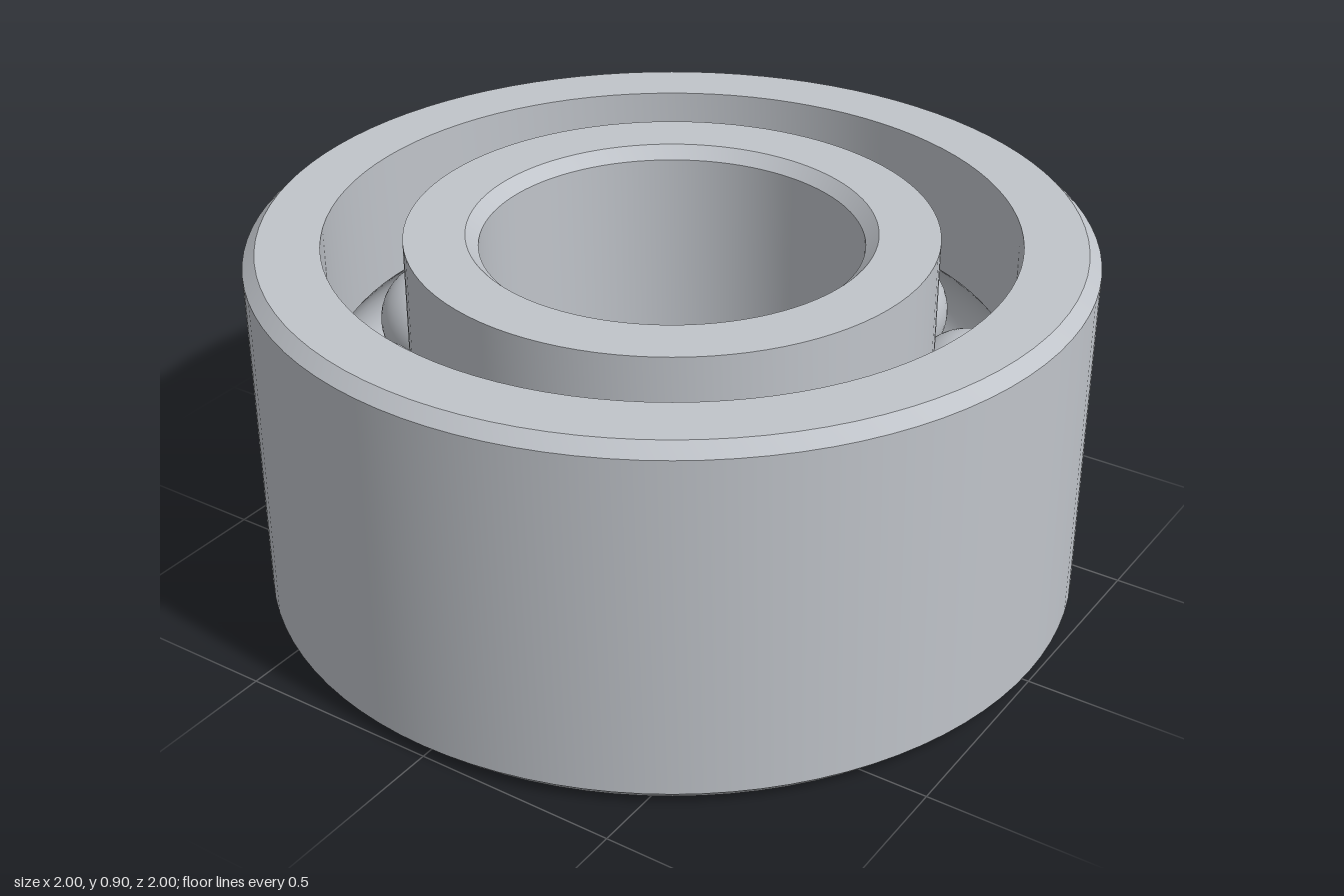
import * as THREE from 'three';
import { toCreasedNormals } from 'three/addons/utils/BufferGeometryUtils.js';

const HEIGHT = 0.905, MID = HEIGHT / 2, CHAMFER = 0.03;
const PITCH = 0.725, BALL = 0.15, GROOVE = 0.153, BALLS = 10;

// Curved raceway cut into a wall at radius r, listed from low to high y
function groove(r) {
  const side = Math.sign(r - PITCH);
  const half = Math.acos(Math.abs(r - PITCH) / GROOVE);
  const points = [];
  for (let i = 0; i <= 12; i++) {
    const a = -half + (2 * half * i) / 12;
    points.push([PITCH + side * GROOVE * Math.cos(a), MID + GROOVE * Math.sin(a)]);
  }
  return points;
}

// Closed profile, counter-clockwise, spun around the y axis
function ring(name, profile, material) {
  const points = [...profile, profile[0]].map(([x, y]) => new THREE.Vector2(x, y));
  const geometry = toCreasedNormals(new THREE.LatheGeometry(points, 96), Math.PI / 6);
  const mesh = new THREE.Mesh(geometry, material);
  mesh.name = name;
  return mesh;
}

export function createModel() {
  const model = new THREE.Group();
  model.name = 'ballBearing';
  const steel = new THREE.MeshStandardMaterial({ color: 0xc0c4ca });
  steel.name = 'steel';

  // Outer ring: chamfered outside, raceway inside
  model.add(ring('outerRing', [
    [0.82, 0], [1 - CHAMFER, 0], [1, CHAMFER],
    [1, HEIGHT - CHAMFER], [1 - CHAMFER, HEIGHT], [0.82, HEIGHT],
    ...groove(0.82).reverse(),
  ], steel));

  // Inner ring: raceway outside, chamfered bore
  model.add(ring('innerRing', [
    [0.485, 0], [0.63, 0], ...groove(0.63), [0.63, HEIGHT],
    [0.485, HEIGHT], [0.455, HEIGHT - CHAMFER], [0.455, CHAMFER],
  ], steel));

  // Rolling balls
  const balls = new THREE.Group();
  balls.name = 'balls';
  const ballGeometry = new THREE.SphereGeometry(BALL, 40, 24);
  for (let i = 0; i < BALLS; i++) {
    const a = (i / BALLS) * Math.PI * 2;
    const ball = new THREE.Mesh(ballGeometry, steel);
    ball.name = `ball${i + 1}`;
    ball.position.set(PITCH * Math.cos(a), MID, PITCH * Math.sin(a));
    balls.add(ball);
  }
  model.add(balls);
  return model;
}
